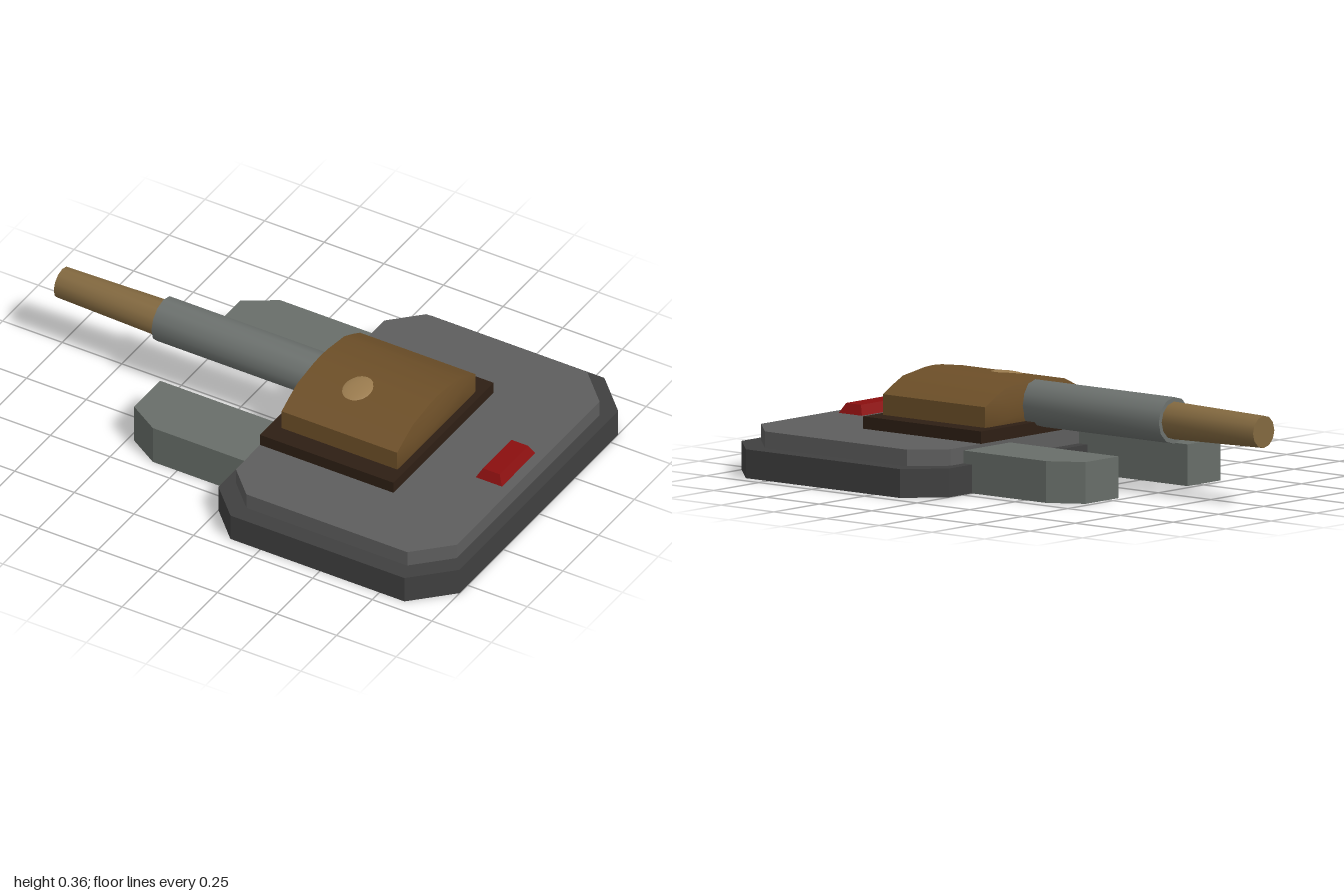
import * as THREE from 'three';
import { toCreasedNormals } from 'three/addons/utils/BufferGeometryUtils.js';

const paint = (color, flat = false) =>
  new THREE.MeshStandardMaterial({ color, flatShading: flat });

// Upright prism from an [x, z] outline
function prism(outline, y0, y1) {
  const shape = new THREE.Shape(outline.map(([x, z]) => new THREE.Vector2(x, -z)));
  return new THREE.ExtrudeGeometry(shape, { depth: y1 - y0, bevelEnabled: false })
    .rotateX(-Math.PI / 2).translate(0, y0, 0);
}

// Rectangle with cut corners, cut size given at the -x and +x ends
const chamfered = (x0, x1, w, cutA, cutB) => [
  [x0 + cutA, w], [x1 - cutB, w], [x1, w - cutB], [x1, -w + cutB],
  [x1 - cutB, -w], [x0 + cutA, -w], [x0, -w + cutA], [x0, w - cutA],
];

// Skin over closed rings that run along x
function loft(rings) {
  const n = rings[0].length, index = [];
  for (let i = 0; i < rings.length - 1; i++)
    for (let j = 0; j < n; j++) {
      const k = (j + 1) % n, a = i * n + j, b = i * n + k;
      index.push(a, a + n, b, b, a + n, b + n);
    }
  const g = new THREE.BufferGeometry();
  g.setAttribute('position', new THREE.Float32BufferAttribute(rings.flat(2), 3));
  g.setIndex(index);
  return toCreasedNormals(g, 0.6);
}

export function createModel() {
  const model = new THREE.Group();
  const add = (name, geometry, material) => {
    const mesh = new THREE.Mesh(geometry, material);
    mesh.name = name;
    model.add(mesh);
    return mesh;
  };

  // Stepped base
  add('base', prism(chamfered(0, 1, 0.7, 0.125, 0.145), 0, 0.105), paint(0x404040, true));
  add('deck', prism(chamfered(0.04, 0.955, 0.63, 0.11, 0.13), 0.105, 0.165), paint(0x5e5e5e, true));

  // Pair of forward arms, cut at the outer tip
  const armPaint = paint(0x686e69, true);
  for (const s of [1, -1]) {
    const outline = [[0.04, 0.19], [-0.475, 0.19], [-0.475, 0.372], [-0.352, 0.447], [0.04, 0.447]];
    add(s > 0 ? 'frontArm' : 'backArm', prism(outline.map(([x, z]) => [x, s * z]), 0, 0.152), armPaint);
  }

  // Turret plate
  add('turretPlate', new THREE.BoxGeometry(0.56, 0.045, 0.7).translate(0.32, 0.1875, 0), paint(0x2e1f14, true));

  // Domed turret: one arched section, closed by slightly bulging ends
  const half = [[0.275, 0.205], [0.275, 0.285], [0.225, 0.312], [0.165, 0.34], [0.05, 0.357]];
  const section = [...half, [0, 0.36], ...half.map(([z, y]) => [-z, y]).reverse()];
  const ring = (x, s) => section.map(([z, y]) => [x, 0.27 + (y - 0.27) * s, z * s]);
  add('turret', loft([
    ring(0.068, 0), ring(0.073, 0.6), ring(0.085, 1),
    ring(0.57, 1), ring(0.581, 0.6), ring(0.586, 0),
  ]), paint(0x6d4f28));

  // Hatch just breaking through the turret roof
  const hatch = add('hatch', new THREE.SphereGeometry(0.07, 20, 12), paint(0x9a7b4e));
  hatch.scale.set(0.95, 0.22, 1.1);
  hatch.rotation.x = 0.15;
  hatch.position.set(0.295, 0.342, 0.092);

  // Gun: sleeve and tapering barrel
  const tube = (rTip, rRoot, x0, x1) => toCreasedNormals(
    new THREE.CylinderGeometry(rTip, rRoot, x1 - x0, 12), 0.7)
    .rotateZ(Math.PI / 2).translate((x0 + x1) / 2, 0.271, 0);
  add('barrelSleeve', tube(0.085, 0.085, -0.575, 0.11), paint(0x6c716e));
  add('barrel', tube(0.059, 0.069, -1, -0.56), paint(0x836940));

  // Red lamp, a box tapering to its top
  const lamp = new THREE.BoxGeometry(0.11, 0.036, 0.235);
  const p = lamp.attributes.position;
  for (let i = 0; i < p.count; i++)
    if (p.getY(i) > 0) {
      p.setX(i, p.getX(i) * 0.64);
      p.setZ(i, p.getZ(i) * 0.85);
    }
  lamp.translate(0.86, 0.183, 0).computeVertexNormals();
  add('lamp', lamp, paint(0x8a0f0f, true));

  return model;
}
